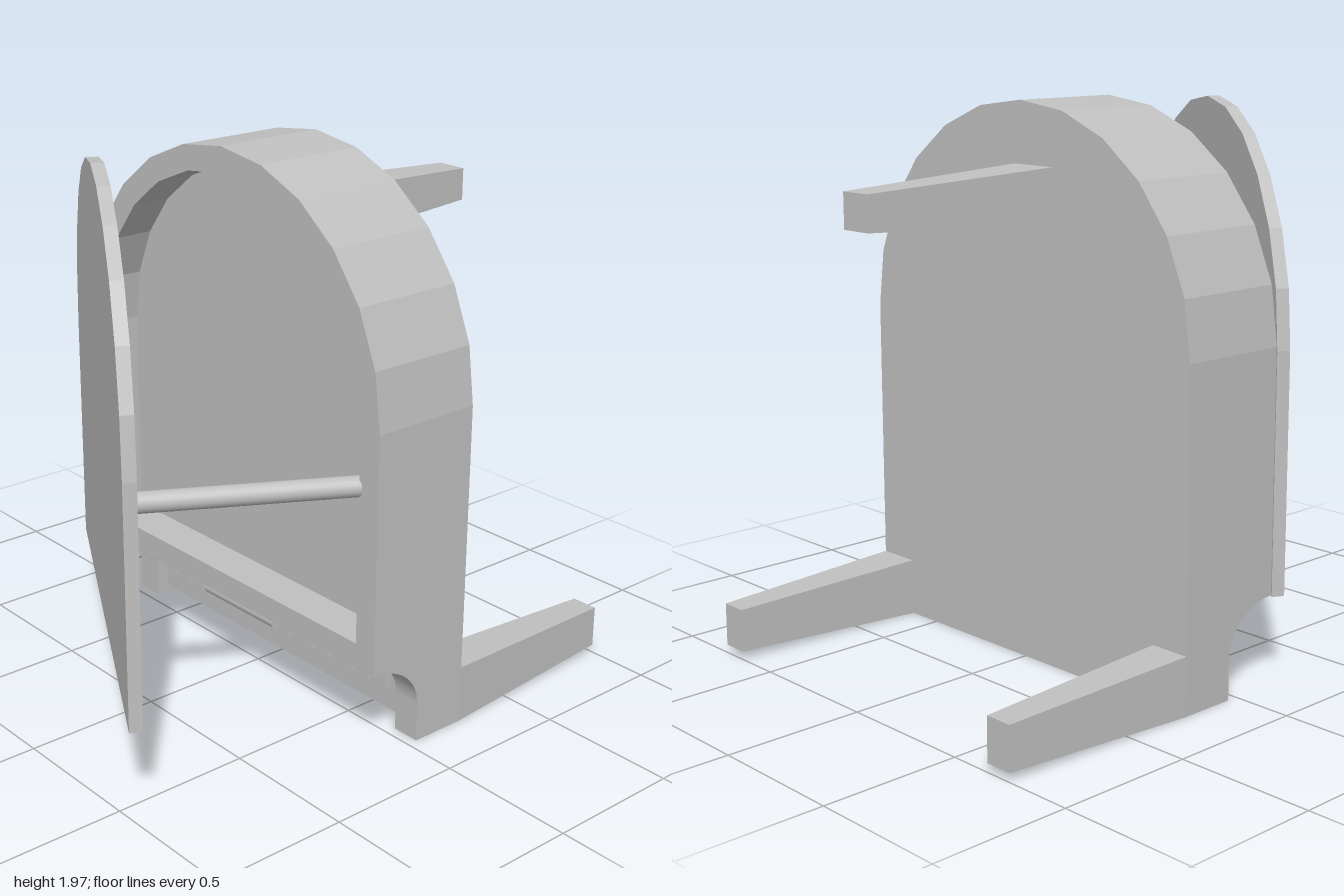
import * as THREE from 'three';

export function createModel() {
  const group = new THREE.Group();
  const grey = new THREE.MeshStandardMaterial({ color: 0xc0c0c0 });
  grey.name = 'plain grey';

  const add = (name, geometry, x = 0, y = 0, z = 0, parent = group) => {
    const mesh = new THREE.Mesh(geometry, grey);
    mesh.name = name;
    mesh.position.set(x, y, z);
    parent.add(mesh);
    return mesh;
  };
  const extrude = (shape, depth) =>
    new THREE.ExtrudeGeometry(shape, { depth, bevelEnabled: false, curveSegments: 12 });

  // Straight-sided outline with a twelve-sided half-round end
  const archPoints = (cx, bottom, cy, r) => {
    const pts = [new THREE.Vector2(cx - r, bottom), new THREE.Vector2(cx + r, bottom)];
    for (let i = 0; i <= 12; i++) {
      const a = (i / 12) * Math.PI;
      pts.push(new THREE.Vector2(cx + r * Math.cos(a), cy + r * Math.sin(a)));
    }
    return pts;
  };

  // Case: solid back with a raised rim in front
  const CX = 0.01, R = 0.79, CY = 1.18, BACK = -0.25, FRONT = 0.17, RECESS = 0.02;
  add('caseBack', extrude(new THREE.Shape(archPoints(CX, 0.32, CY, R)), RECESS - BACK), 0, 0, BACK);
  const rim = new THREE.Shape(archPoints(CX, 0.32, CY, R));
  rim.holes.push(new THREE.Path(archPoints(CX, 0.41, CY, 0.7)));
  add('caseRim', extrude(rim, FRONT - RECESS), 0, 0, RECESS);

  // Cheeks either side of the keyboard, with a concave front
  const cheek = new THREE.Shape();
  cheek.moveTo(BACK, 0);
  cheek.lineTo(-0.04, 0);
  cheek.lineTo(-0.04, 0.14);
  cheek.absellipse(0.17, 0.14, 0.21, 0.18, Math.PI, Math.PI / 2, true);
  cheek.lineTo(BACK, 0.32);
  const cheekGeometry = extrude(cheek, 0.105).rotateY(-Math.PI / 2);
  add('leftCheek', cheekGeometry, CX + R);
  add('rightCheek', cheekGeometry, CX - R + 0.105);

  // Keyboard
  add('keyBed', new THREE.BoxGeometry(1.37, 0.32, 0.13), CX, 0.16, -0.185);
  add('whiteKeys', new THREE.BoxGeometry(1.37, 0.29, 0.03), CX, 0.175, -0.105);
  const keyGeometry = new THREE.BoxGeometry(0.042, 0.2, 0.035);
  [-0.598, -0.512, -0.427, -0.299, -0.214, -0.128, 0, 0.088, 0.216, 0.302, 0.43, 0.515, 0.6]
    .forEach((x) => add('blackKey', keyGeometry, x, 0.22, -0.073));

  // Music rest hanging over the keys
  add('musicRest', new THREE.BoxGeometry(0.39, 0.09, 0.02), -0.035, 0.277, 0.035);
  add('musicRestLip', new THREE.CylinderGeometry(0.025, 0.025, 0.39, 16).rotateZ(Math.PI / 2),
    -0.035, 0.232, 0.046);

  // Open lid, hinged on the right edge
  const lid = add('lid', extrude(new THREE.Shape(archPoints(0.79, 0.315, 1.165, 0.79)), 0.045),
    -0.783, 0, FRONT);
  lid.rotation.y = -Math.PI / 6;

  // Prop holding the lid open
  const from = new THREE.Vector3(0.33, 0.97, 0.81), to = new THREE.Vector3(0.695, 0.97, 0.155);
  const prop = add('lidProp', new THREE.CylinderGeometry(0.036, 0.036, from.distanceTo(to), 24));
  prop.position.copy(from).lerp(to, 0.5);
  prop.quaternion.setFromUnitVectors(new THREE.Vector3(0, 1, 0), to.clone().sub(from).normalize());

  // Tapered legs; each range is [min, max] at the case and at the tip
  const leg = (name, x0, y0, x1, y1) => {
    const geometry = new THREE.BoxGeometry(1, 1, 1);
    const p = geometry.attributes.position;
    for (let i = 0; i < p.count; i++) {
      const tip = p.getZ(i) < 0;
      const xs = tip ? x1 : x0, ys = tip ? y1 : y0;
      p.setXYZ(i, xs[p.getX(i) > 0 ? 1 : 0], ys[p.getY(i) > 0 ? 1 : 0], tip ? -1 : BACK);
    }
    geometry.computeVertexNormals();
    add(name, geometry);
  };
  leg('tailLeg', [-0.15, 0.04], [1.565, 1.755], [-0.12, 0], [1.6, 1.72]);
  leg('rightLeg', [-0.78, -0.63], [0, 0.21], [-0.757, -0.655], [0.03, 0.185]);
  leg('leftLeg', [0.635, 0.8], [0, 0.21], [0.665, 0.765], [0.03, 0.185]);

  return group;
}
